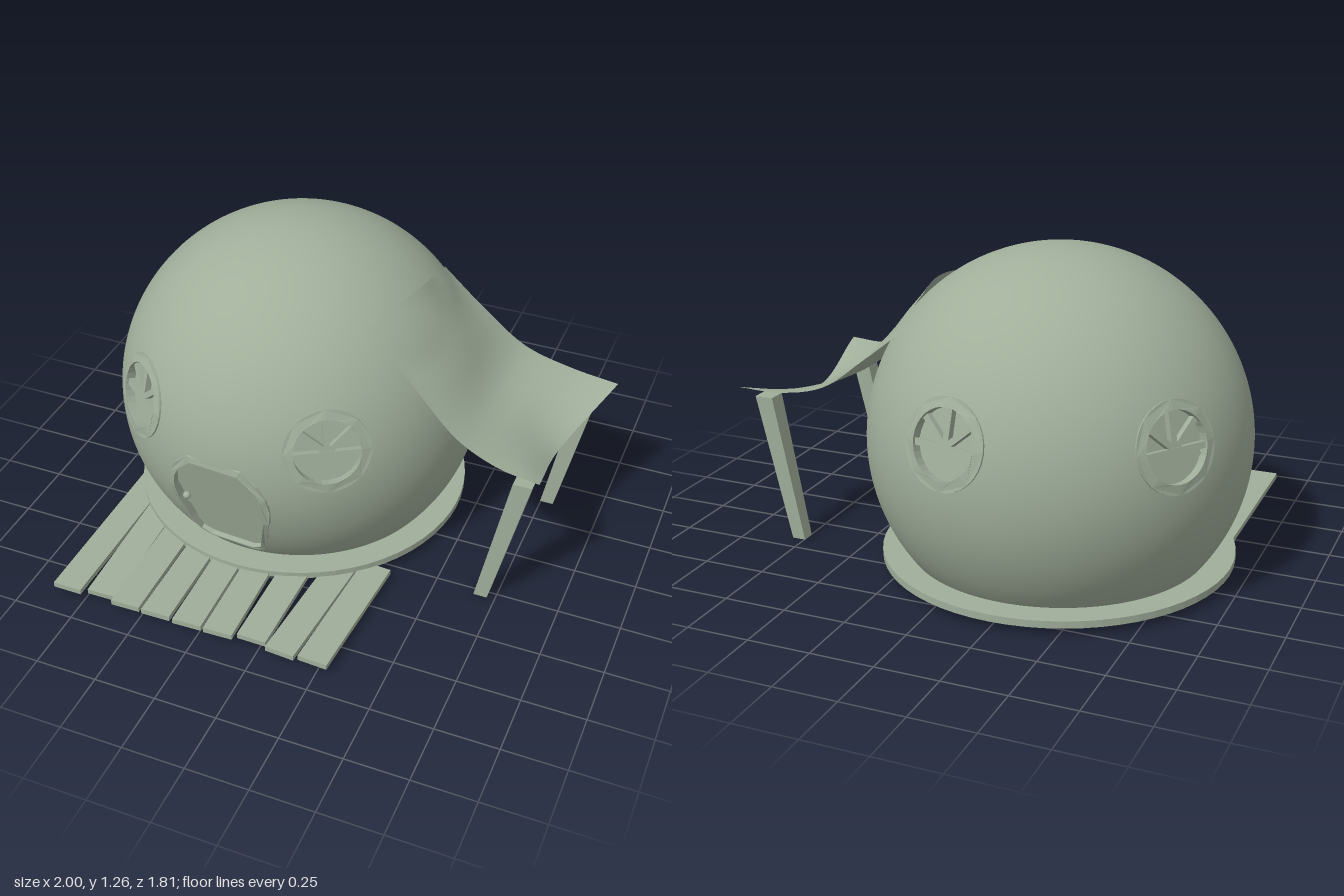
import * as THREE from 'three';

const R = 0.745;
const CENTER = new THREE.Vector3(-0.255, 0.515, -0.155);
const mat = new THREE.MeshStandardMaterial({ color: 0xa0ae9a, side: THREE.DoubleSide });
const DEG = Math.PI / 180;

function add(parent, geo, name, x = 0, y = 0, z = 0) {
  const m = new THREE.Mesh(geo, mat);
  m.name = name;
  m.position.set(x, y, z);
  parent.add(m);
  return m;
}

// Group at the dome centre whose local +z points outward through the wall
function wallMount(name, azimuth, elevation) {
  const g = new THREE.Group();
  g.name = name;
  g.position.copy(CENTER);
  g.rotation.set(-elevation * DEG, azimuth * DEG, 0, 'YXZ');
  return g;
}

// Frame with a hole, bent to follow the dome and standing slightly proud of it
function frameGeometry(outer, inner) {
  const depth = 0.055, proud = 0.007;
  outer.holes.push(inner);
  const g = new THREE.ExtrudeGeometry(outer, { depth, bevelEnabled: false, curveSegments: 16 });
  const pos = g.attributes.position;
  for (let i = 0; i < pos.count; i++) {
    const wall = Math.sqrt(R * R - pos.getX(i) ** 2 - pos.getY(i) ** 2);
    pos.setZ(i, pos.getZ(i) + wall + proud - depth);
  }
  g.computeVertexNormals();
  return g;
}

const circle = r => new THREE.Shape().absarc(0, 0, r, 0, Math.PI * 2);

// Right half of the door outline, bottom to top
const doorHalf = [[0.10, -0.252], [0.15, -0.23], [0.175, -0.15], [0.21, -0.01], [0.222, 0.06],
  [0.212, 0.13], [0.18, 0.19], [0.115, 0.25]];

function doorShape(s) {
  const right = doorHalf.map(([x, y]) => new THREE.Vector2(x * s, y * s));
  const left = doorHalf.map(([x, y]) => new THREE.Vector2(-x * s, y * s)).reverse();
  return new THREE.Shape([...right, ...left]);
}

function insideDoor(x, y) {
  const s = 0.95;
  for (let i = 0; i < doorHalf.length - 1; i++) {
    const [x0, y0] = doorHalf[i], [x1, y1] = doorHalf[i + 1];
    const v = y / s;
    if (v >= y0 && v <= y1) return Math.abs(x) < s * (x0 + (x1 - x0) * (v - y0) / (y1 - y0));
  }
  return false;
}

function makeWindow(azimuth) {
  const g = wallMount('window', azimuth, 13.2);
  add(g, frameGeometry(circle(0.17), circle(0.132)), 'windowFrame');
  add(g, new THREE.BoxGeometry(0.27, 0.024, 0.055), 'windowCrossbar', 0, -0.015, 0.702);
  for (const a of [-48, 0, 48]) {
    const spoke = new THREE.BoxGeometry(0.024, 0.14, 0.05).translate(0, 0.07, 0);
    add(g, spoke, 'windowSpoke', 0, -0.01, 0.702).rotation.z = a * DEG;
  }
  return g;
}

function makeDoor() {
  const g = wallMount('door', -4, -14);
  add(g, frameGeometry(doorShape(1), doorShape(0.9)), 'doorFrame');
  add(g, new THREE.SphereGeometry(0.016, 16, 12), 'doorKnob', -0.165, -0.01, 0.706);
  return g;
}

// Open-bottomed dome; the wall is pressed flat where panes and door panel sit
function domeGeometry(windows, door) {
  const geo = new THREE.SphereGeometry(R, 240, 130, 0, Math.PI * 2, 0, 128.6 * DEG);
  const { position: pos, normal } = geo.attributes;
  const p = new THREE.Vector3();
  const press = (mount, test, depth) => {
    const q = mount.quaternion, inv = q.clone().invert();
    const out = new THREE.Vector3(0, 0, 1).applyQuaternion(q);
    for (let i = 0; i < pos.count; i++) {
      p.fromBufferAttribute(pos, i).applyQuaternion(inv);
      if (p.z < 0 || !test(p.x, p.y)) continue;
      p.z = depth;
      p.applyQuaternion(q);
      pos.setXYZ(i, p.x, p.y, p.z);
      normal.setXYZ(i, out.x, out.y, out.z);
    }
  };
  windows.forEach(w => press(w, (x, y) => Math.hypot(x, y) < 0.147, 0.702));
  press(door, insideDoor, 0.69);
  return geo;
}

// Draped awning through three slope lines: back, middle and front
function awningGeometry() {
  const lines = [
    [[0.23, 0.97, -0.51], [0.42, 0.82, -0.49], [0.6, 0.69, -0.485], [0.8, 0.64, -0.475], [1.0, 0.63, -0.45]],
    [[0.255, 1.09, -0.15], [0.42, 0.87, -0.15], [0.56, 0.69, -0.14], [0.72, 0.61, -0.12], [0.87, 0.53, -0.08]],
    [[0.16, 1.06, 0.15], [0.36, 0.86, 0.19], [0.55, 0.71, 0.24], [0.72, 0.65, 0.27], [0.89, 0.645, 0.30]]
  ].map(l => new THREE.CatmullRomCurve3(l.map(c => new THREE.Vector3(...c))));
  const n = 24;
  const geo = new THREE.PlaneGeometry(1, 1, n, n);
  for (let j = 0; j <= n; j++) {
    const across = new THREE.CatmullRomCurve3(lines.map(l => l.getPoint(j / n)));
    for (let i = 0; i <= n; i++) {
      // Keep the cloth lying on the dome where it would sink in
      const v = across.getPoint(i / n).sub(CENTER);
      v.setLength(Math.max(v.length(), R + 0.008)).add(CENTER);
      geo.attributes.position.setXYZ(j * (n + 1) + i, v.x, v.y, v.z);
    }
  }
  // Rows run outward, so turn the faces upward
  const idx = geo.index.array;
  for (let k = 0; k < idx.length; k += 3) [idx[k], idx[k + 1]] = [idx[k + 1], idx[k]];
  geo.computeVertexNormals();
  return geo;
}

// Square tapered post leaning from its foot to its head
function postGeometry(footX, headX, z, height) {
  const geo = new THREE.CylinderGeometry(0.053, 0.039, height, 4).rotateY(Math.PI / 4).toNonIndexed();
  const pos = geo.attributes.position;
  for (let i = 0; i < pos.count; i++) {
    const t = pos.getY(i) / height + 0.5;
    pos.setXYZ(i, pos.getX(i) + footX + (headX - footX) * t, t * height, pos.getZ(i) + z);
  }
  geo.computeVertexNormals();
  return geo;
}

export function createModel() {
  const model = new THREE.Group();
  model.name = 'domeHouse';

  const windows = [31, -38.8, -124.8, 166.4].map(makeWindow);
  const door = makeDoor();
  add(model, domeGeometry(windows, door), 'dome').position.copy(CENTER);
  model.add(...windows, door);

  // Base ring around the open underside
  const ringShape = circle(0.695);
  ringShape.holes.push(circle(0.59));
  const ring = new THREE.ExtrudeGeometry(ringShape, { depth: 0.028, bevelEnabled: false, curveSegments: 32 });
  add(model, ring.rotateX(-Math.PI / 2), 'baseRing', CENTER.x, 0.032, CENTER.z);

  // Uneven deck planks: back x, front x, front z, back y, front y
  const planks = [
    [-0.82, -0.82, 0.90, 0.035, 0.042], [-0.70, -0.692, 0.86, 0.035, 0.016], [-0.575, -0.562, 0.90, 0.03, 0.04],
    [-0.44, -0.43, 0.90, 0.03, 0.04], [-0.31, -0.295, 0.90, 0.03, 0.038], [-0.18, -0.163, 0.90, 0.03, 0.04],
    [-0.03, -0.035, 0.87, 0.032, 0.026], [0.135, 0.095, 0.90, 0.022, 0.034], [0.262, 0.23, 0.90, 0.024, 0.038]
  ];
  for (const [xb, xf, zf, yb, yf] of planks) {
    const dx = xb - CENTER.x;
    const zb = CENTER.z + Math.sqrt(0.695 ** 2 - dx * dx) - (xb > 0.2 ? 0 : 0.11);
    const back = new THREE.Vector3(xb, yb, zb), front = new THREE.Vector3(xf, yf, zf);
    const plank = add(model, new THREE.BoxGeometry(0.12, 0.022, back.distanceTo(front)), 'deckPlank');
    plank.position.copy(back).lerp(front, 0.5);
    plank.lookAt(front);
  }

  // Side awning on two leaning posts
  add(model, awningGeometry(), 'awning');
  add(model, postGeometry(0.69, 0.825, 0.255, 0.61), 'frontPost');
  add(model, postGeometry(0.775, 0.9, -0.395, 0.595), 'backPost');
  return model;
}
